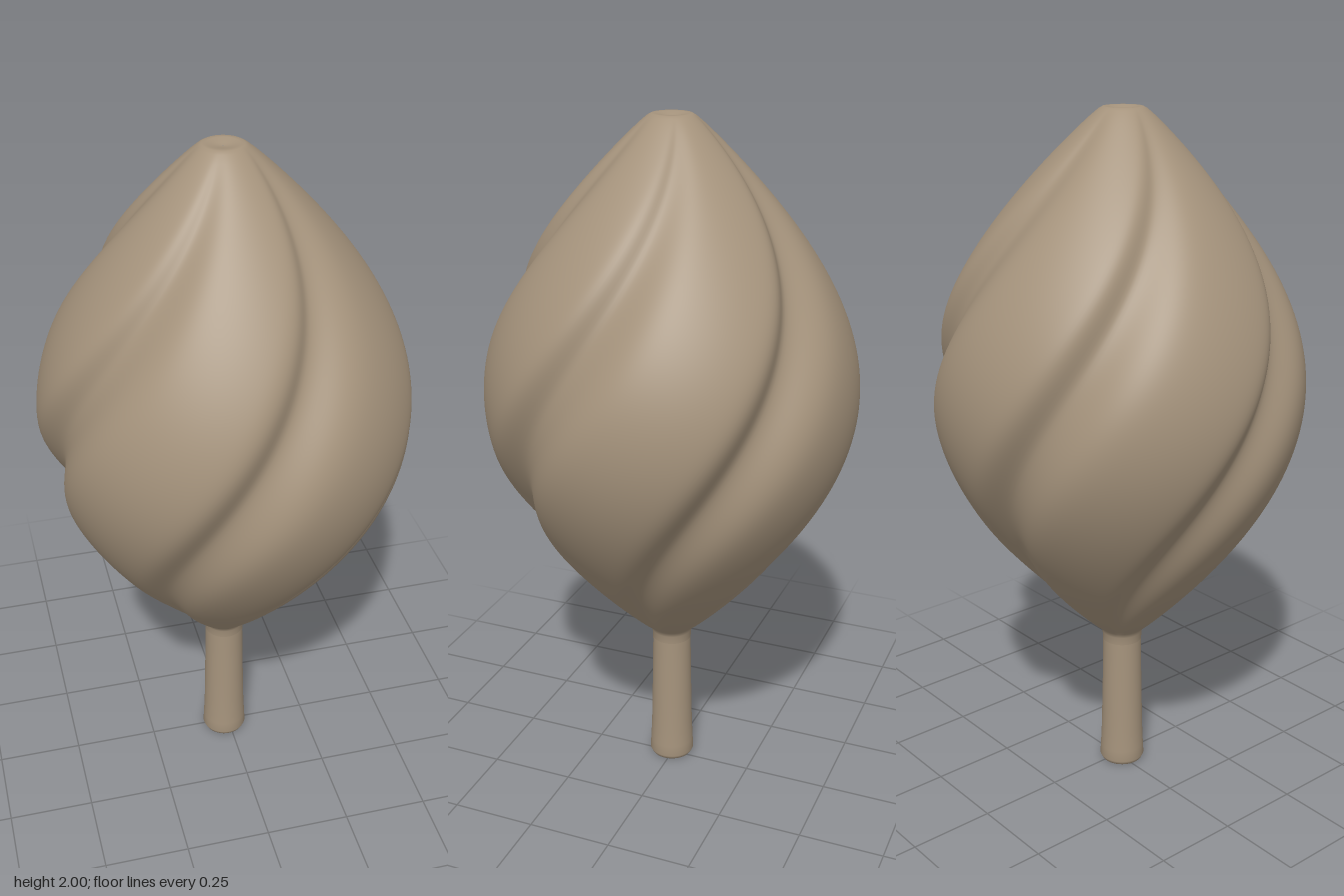
import * as THREE from 'three';

const DEG = Math.PI / 180;
const PETALS = 5, PER_PETAL = 44, ROWS = 90;
const BASE = 0.46, TOP = 2, END_R = 0.066;

// Groove depth (0..1) across one petal: a steep wall at its start, a soft slope at its end
function groove(deg) {
  const steep = Math.exp(-((deg / 8) ** 2));
  const soft = Math.exp(-(((72 - deg) / 12.5) ** 2));
  return Math.max(steep, soft);
}

// Rings of the bud as [height, end radius, swell], with a neck below and a dimpled tip above
function budRings() {
  const rings = [[0.42, 0.058, 0], [0.445, 0.06, 0]];
  for (let j = 0; j <= ROWS; j++) {
    const t = j / ROWS;
    rings.push([BASE + (TOP - 0.006 - BASE) * t, END_R, Math.max(0, Math.sin(Math.PI * t)) ** 0.93]);
  }
  rings.push([TOP, 0.055, 0], [TOP, 0.042, 0], [TOP - 0.006, 0.02, 0], [TOP - 0.008, 0.001, 0]);
  return rings;
}

// Swollen bud whose overlapping petals wind around the axis
function budGeometry() {
  const cols = PETALS * PER_PETAL;
  const rings = budRings();
  const pos = [], idx = [];
  rings.forEach(([y, endR, swell], j) => {
    const turn = 26 + 76 * (1.235 - y);
    for (let i = 0; i < cols; i++) {
      const deg = (i * 360) / cols;
      const r = endR + 0.466 * swell * (1 - 0.12 * groove(deg % 72));
      const a = (deg + turn) * DEG;
      // the belly leans slightly off the stem axis
      pos.push(r * Math.cos(a) + 0.012 * swell, y, r * Math.sin(a) - 0.006 * swell);
      if (j < rings.length - 1) {
        const p = j * cols + i, q = j * cols + ((i + 1) % cols);
        idx.push(p, p + cols, q, q, p + cols, q + cols);
      }
    }
  });
  const g = new THREE.BufferGeometry();
  g.setAttribute('position', new THREE.Float32BufferAttribute(pos, 3));
  g.setIndex(idx);
  g.computeVertexNormals();
  return g;
}

// Slightly waisted stem with a softly rounded foot
function stemGeometry() {
  const profile = [
    [0, 0], [0.045, 0], [0.062, 0.004], [0.068, 0.016], [0.066, 0.05], [0.063, 0.12],
    [0.061, 0.22], [0.059, 0.32], [0.058, 0.4], [0.058, 0.44],
  ];
  return new THREE.LatheGeometry(profile.map(([r, y]) => new THREE.Vector2(r, y)), 48);
}

export function createModel() {
  const model = new THREE.Group();
  model.name = 'spiralBud';
  const material = new THREE.MeshStandardMaterial({ color: 0xa5937c });
  const add = (name, geometry) => {
    const mesh = new THREE.Mesh(geometry, material);
    mesh.name = name;
    mesh.position.set(-0.014, 0, 0.008);
    model.add(mesh);
  };
  add('bud', budGeometry());
  add('stem', stemGeometry());
  return model;
}
